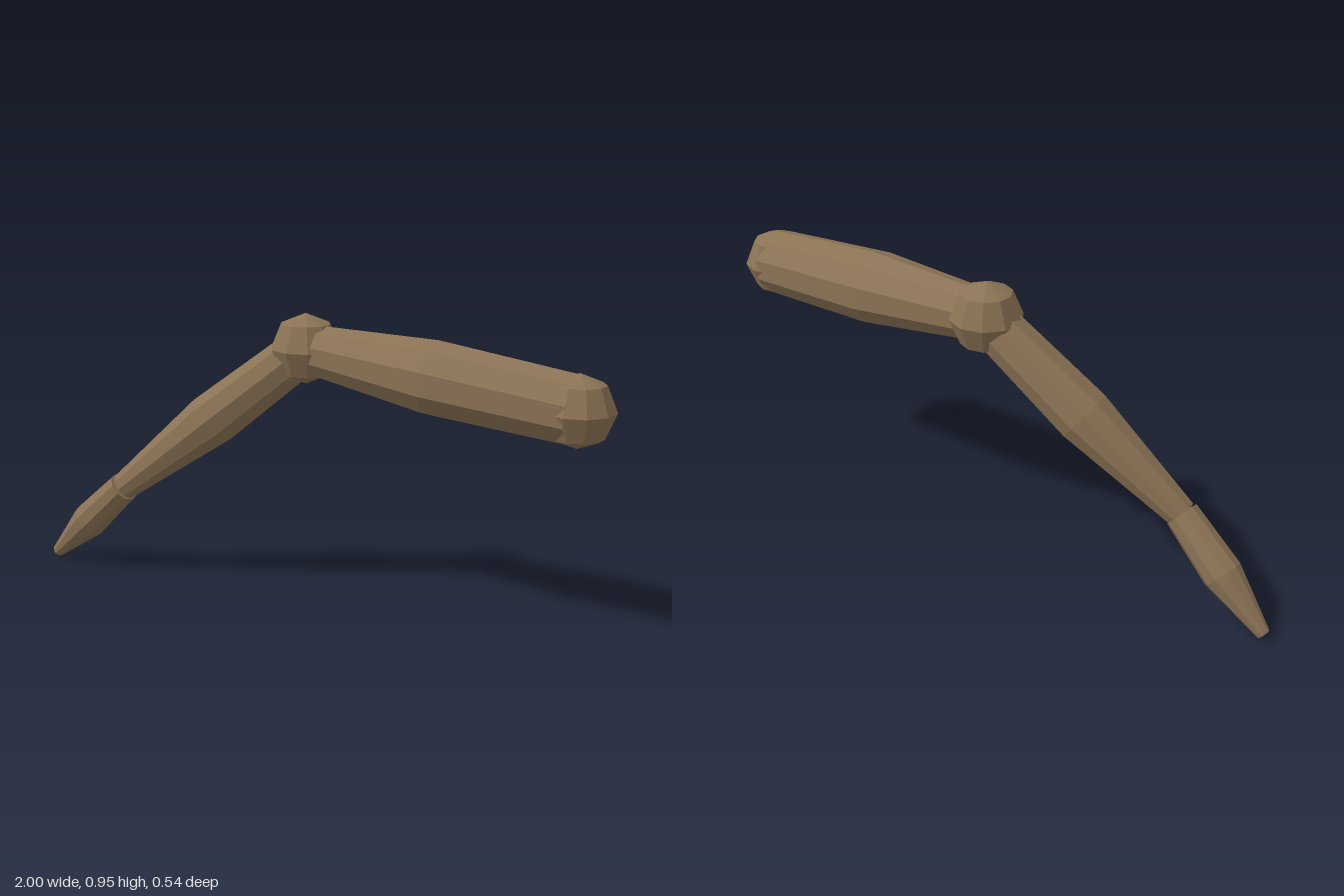
import * as THREE from 'three';

const SIDES = 10;

export function createModel() {
  const model = new THREE.Group();
  model.name = 'jointedArm';
  const skin = new THREE.MeshStandardMaterial({ color: 0x8b7355, flatShading: true });
  skin.name = 'warm brown';

  // Joint centres along the limb
  const shoulder = new THREE.Vector3(0.885, 0.745, 0.158);
  const elbow = new THREE.Vector3(-0.02, 0.832, -0.13);
  const wrist = new THREE.Vector3(-0.678, 0.308, -0.155);
  const fingertip = new THREE.Vector3(-0.983, 0.016, -0.252);

  // Ball joint
  const ball = (name, centre, radius) => {
    const mesh = new THREE.Mesh(new THREE.SphereGeometry(radius, SIDES, 4), skin);
    mesh.name = name;
    mesh.position.copy(centre);
    model.add(mesh);
  };

  // Closed limb segment: start radius, bulge at the middle, end radius
  const limb = (name, from, to, radii) => {
    const axis = to.clone().sub(from);
    const length = axis.length();
    const profile = [
      new THREE.Vector2(0, 0),
      ...radii.map((r, i) => new THREE.Vector2(r, (length * i) / (radii.length - 1))),
      new THREE.Vector2(0, length),
    ];
    const mesh = new THREE.Mesh(new THREE.LatheGeometry(profile, SIDES), skin);
    mesh.name = name;
    mesh.position.copy(from);
    mesh.quaternion.setFromUnitVectors(new THREE.Vector3(0, 1, 0), axis.normalize());
    model.add(mesh);
  };

  ball('shoulderJoint', shoulder, 0.114);
  limb('upperArm', shoulder, elbow, [0.109, 0.12, 0.08]);
  ball('elbowJoint', elbow, 0.116);
  limb('forearm', elbow, wrist, [0.078, 0.092, 0.049]);
  limb('hand', wrist, fingertip, [0.054, 0.063, 0.021]);

  return model;
}
